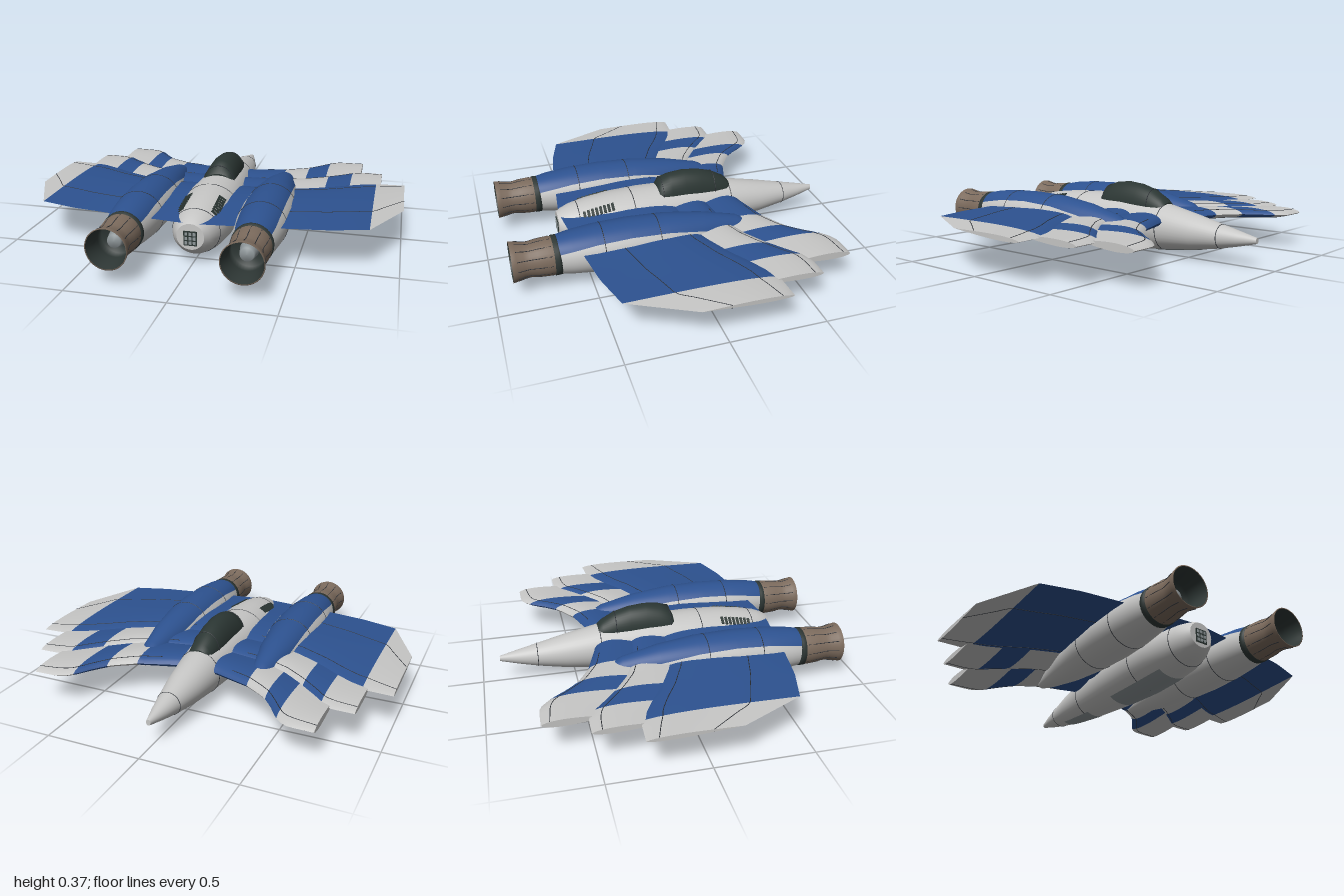
import * as THREE from 'three';

const mat = (name, color, double) => {
  const m = new THREE.MeshStandardMaterial({ color });
  m.name = name;
  if (double) m.side = THREE.DoubleSide;
  return m;
};
const V = (x, y, z) => new THREE.Vector3(x, y, z);

// linear lookup in rows [key, value, value, ...]
function at(rows, k) {
  let i = 0;
  while (i < rows.length - 2 && rows[i + 1][0] < k) i++;
  const a = rows[i], b = rows[i + 1];
  const t = THREE.MathUtils.clamp((k - a[0]) / (b[0] - a[0]), 0, 1);
  return a.slice(1).map((v, j) => v + (b[j + 1] - v) * t);
}

// skin over rings of equal point count, with optional flat end caps
function loft(rings, closed, capStart, capEnd) {
  const n = rings[0].length, pos = [], idx = [];
  rings.forEach(r => r.forEach(p => pos.push(p.x, p.y, p.z)));
  for (let i = 0; i < rings.length - 1; i++) {
    for (let j = 0; j < (closed ? n : n - 1); j++) {
      const k = (j + 1) % n, a = i * n + j, b = i * n + k;
      idx.push(a, b, b + n, a, b + n, a + n);
    }
  }
  const cap = (ring, flip) => {
    const base = pos.length / 3, c = V(0, 0, 0);
    ring.forEach(p => { pos.push(p.x, p.y, p.z); c.addScaledVector(p, 1 / n); });
    pos.push(c.x, c.y, c.z);
    for (let j = 0; j < n; j++) {
      const k = (j + 1) % n;
      idx.push(base + n, base + (flip ? k : j), base + (flip ? j : k));
    }
  };
  if (capStart) cap(rings[0], true);
  if (capEnd) cap(rings[rings.length - 1], false);
  const g = new THREE.BufferGeometry();
  g.setAttribute('position', new THREE.Float32BufferAttribute(pos, 3));
  g.setIndex(idx);
  g.computeVertexNormals();
  return g;
}

// elliptical arc for a body section [halfWidth, top, bottom] at z
function arc(z, [w, top, bot], a0, a1, n, grow = 0) {
  const c = (top + bot) / 2, h = (top - bot) / 2 + grow;
  return Array.from({ length: n }, (_, j) => {
    const a = a0 + (a1 - a0) * j / (n - 1);
    return V((w + grow) * Math.cos(a), c + h * Math.sin(a), z);
  });
}
const fullRing = (z, s, grow) => arc(z, s, 0, Math.PI * 2, 37, grow).slice(0, 36);

function mirrorX(g) {
  const m = g.clone().scale(-1, 1, 1), ix = m.index.array;
  for (let i = 0; i < ix.length; i += 3) [ix[i], ix[i + 1]] = [ix[i + 1], ix[i]];
  m.computeVertexNormals();
  return m;
}

// z, half width, top, bottom
const HULL = [[-0.9, 0.012, 0.155, 0.125], [-0.8, 0.04, 0.178, 0.1], [-0.7, 0.063, 0.2, 0.078],
  [-0.55, 0.092, 0.235, 0.052], [-0.36, 0.116, 0.275, 0.03], [-0.1, 0.144, 0.3, 0.012],
  [0.15, 0.16, 0.302, 0.006], [0.32, 0.156, 0.295, 0.012], [0.45, 0.137, 0.28, 0.022],
  [0.54, 0.112, 0.262, 0.045], [0.585, 0.09, 0.245, 0.07], [0.61, 0.07, 0.23, 0.095]];
// the last column is the angle where the painted top begins
const POD = [[-0.4, 0.025, 0.185, 0.145, 0.1], [-0.34, 0.043, 0.215, 0.128, 0.1], [-0.29, 0.057, 0.242, 0.117, 0.15],
  [-0.1, 0.097, 0.285, 0.085, 0.45], [0.1, 0.125, 0.31, 0.068, 0.66], [0.3, 0.135, 0.317, 0.062, 0.72],
  [0.48, 0.127, 0.312, 0.067, 0.66], [0.6, 0.113, 0.3, 0.077, 0.55], [0.665, 0.1, 0.288, 0.085, 0.5]];
const CANOPY = [[-0.365, 0.055, 0.28, 0.24], [-0.34, 0.066, 0.305, 0.24], [-0.27, 0.076, 0.345, 0.24],
  [-0.19, 0.083, 0.368, 0.24], [-0.1, 0.088, 0.377, 0.24], [-0.02, 0.09, 0.368, 0.24],
  [0.03, 0.09, 0.35, 0.24], [0.05, 0.086, 0.31, 0.24]];

// wing feathers: leading and trailing edges as [x, z], colour bands by span
const FEATHERS = [
  { drop: -0.008, lead: [[0, -0.38], [0.11, -0.4], [0.31, -0.465], [0.43, -0.54], [0.49, -0.61], [0.53, -0.67], [0.57, -0.72], [0.62, -0.742], [0.745, -0.745]],
    trail: [[0, -0.08], [0.3, -0.1], [0.55, -0.24], [0.745, -0.4]],
    bands: [[0, 0.31, 'blue'], [0.31, 0.44, 'white'], [0.44, 0.55, 'blue'], [0.55, 0.745, 'white']], seams: [0.12] },
  { drop: -0.003, lead: [[0, -0.2], [0.3, -0.24], [0.45, -0.3], [0.55, -0.37], [0.65, -0.455], [0.7, -0.505], [0.76, -0.528], [0.87, -0.53]],
    trail: [[0, 0.1], [0.3, 0.08], [0.55, 0.0], [0.87, -0.16]],
    bands: [[0, 0.31, 'blue'], [0.31, 0.57, 'white'], [0.57, 0.7, 'blue'], [0.7, 0.87, 'white']], seams: [0.13] },
  { drop: 0.003, lead: [[0, -0.05], [0.3, -0.06], [0.44, -0.09], [0.6, -0.17], [0.7, -0.235], [0.79, -0.285], [0.87, -0.305], [1, -0.312]],
    trail: [[0, 0.6], [0.1, 0.59], [0.45, 0.55], [0.65, 0.52], [0.845, 0.465], [1, 0.14]],
    bands: [[0, 0.845, 'blue'], [0.845, 1, 'white']], seams: [0.13, 0.68] },
];

function wingPoint(f, x, t, side) {
  const z0 = at(f.lead, x)[0], z1 = at(f.trail, x)[0], z = z0 + (z1 - z0) * t;
  const h = 0.04 - 0.028 * x;
  return V(x, 0.209 + f.drop + 0.025 * z + side * h * Math.sin(Math.PI * Math.pow(t, 0.6)), z);
}
function wingRing(f, x) {
  const N = 12, r = [];
  for (let i = 0; i <= N; i++) r.push(wingPoint(f, x, Math.pow(i / N, 1.4), 1));
  for (let i = N; i >= 0; i--) r.push(wingPoint(f, x, Math.pow(i / N, 1.4), -1));
  return r;
}

export function createModel() {
  const M = {
    white: mat('pale grey paint', 0xc6c6c5), blue: mat('blue paint', 0x2d5290),
    dark: mat('dark green glass', 0x2b3633), line: mat('panel line', 0x30343a),
    brown: mat('burnt metal', 0x7c6b5d, true), inner: mat('nozzle lining', 0x2e3735, true),
    grey: mat('mid grey', 0x8e9699),
  };
  const root = new THREE.Group();
  const add = (name, geo, m, parent = root) => {
    const mesh = new THREE.Mesh(geo, m);
    mesh.name = name;
    parent.add(mesh);
    return mesh;
  };
  const lineTube = (pts, closed) =>
    new THREE.TubeGeometry(new THREE.CatmullRomCurve3(pts, closed), closed ? 48 : 30, 0.002, 5, closed);

  // fuselage
  add('fuselage', loft(HULL.map(([z, ...s]) => fullRing(z, s)), true, true, true), M.white);
  for (const z of [-0.7, -0.36, 0.2, 0.5])
    add('fuselageSeam', lineTube(fullRing(z, at(HULL, z)), true), M.line);
  for (const [z0, z1, spread] of [[-0.6, -0.32, 0.45], [-0.05, 0.38, 0.6]]) {
    const rings = [];
    for (let i = 0; i <= 8; i++) {
      const z = z0 + (z1 - z0) * i / 8;
      rings.push(arc(z, at(HULL, z), 1.5 * Math.PI - spread, 1.5 * Math.PI + spread, 14, 0.002));
    }
    add('bellyPanel', loft(rings, false), M.grey);
  }

  // canopy with frame hoops
  add('canopy', loft(CANOPY.map(([z, w, t, b]) => arc(z, [w, t, 2 * b - t], 0, Math.PI, 24)), false, true, true), M.dark);
  for (const z of [-0.27, 0.03]) {
    const [w, t, b] = at(CANOPY, z);
    add('canopyFrame', lineTube(arc(z, [w, t, 2 * b - t], 0, Math.PI, 16, 0.001)), M.line);
  }

  // dorsal vents
  for (const s of [-1, 1]) for (let i = 0; i < 8; i++) {
    const z = 0.32 + i * 0.022, [w, t, b] = at(HULL, z), x = 0.09, h = (t - b) / 2;
    const v = add('ventSlat', new THREE.BoxGeometry(0.045, 0.008, 0.014), M.dark);
    v.position.set(s * x, (t + b) / 2 + h * Math.sqrt(1 - (x / w) ** 2), z);
    v.rotation.z = -s * Math.atan((h / w) * (x / w) / Math.sqrt(1 - (x / w) ** 2));
  }

  // tail grille
  add('tailGrille', new THREE.BoxGeometry(0.068, 0.075, 0.006), M.dark).position.set(0, 0.155, 0.611);
  for (let i = 0; i < 9; i++)
    add('grilleCell', new THREE.BoxGeometry(0.014, 0.016, 0.004), M.grey)
      .position.set((i % 3 - 1) * 0.021, 0.155 + (Math.floor(i / 3) - 1) * 0.023, 0.614);

  // engines
  for (const s of [-1, 1]) {
    const engine = new THREE.Group();
    engine.name = s > 0 ? 'leftEngine' : 'rightEngine';
    engine.position.x = s * 0.32;
    root.add(engine);
    add('nacelleTop', loft(POD.map(([z, w, t, b, a]) => arc(z, [w, t, b], a, Math.PI - a, 20)), false), M.blue, engine);
    add('nacelleBody', loft(POD.map(([z, w, t, b, a]) => arc(z, [w, t, b], Math.PI - a, 2 * Math.PI + a, 28)), false, true, true), M.white, engine);
    for (const z of [0.15, 0.44])
      add('nacelleSeam', lineTube(fullRing(z, at(POD, z)), true), M.line, engine);

    const lathe = pts => new THREE.LatheGeometry(pts.map(p => new THREE.Vector2(...p)), 36).rotateX(Math.PI / 2).translate(0, 0.185, 0);
    add('nozzleCollar', lathe([[0.05, 0.655], [0.101, 0.655], [0.103, 0.67], [0.103, 0.69], [0.09, 0.692]]), M.inner, engine);
    add('nozzle', lathe([[0.098, 0.685], [0.1, 0.72], [0.095, 0.77], [0.089, 0.81], [0.091, 0.84], [0.1, 0.875], [0.105, 0.9], [0.1, 0.9]]), M.brown, engine);
    add('nozzleLining', lathe([[0.1, 0.9], [0.094, 0.875], [0.085, 0.83], [0.085, 0.79], [0.085, 0.74], [0, 0.74]]), M.inner, engine);
    add('nozzleHub', lathe([[0.045, 0.74], [0.038, 0.78], [0.033, 0.8], [0, 0.802]]), M.grey, engine);
    for (let i = 0; i < 12; i++) {
      const a = i * Math.PI / 6, p = (r, z) => V(r * Math.cos(a), 0.185 + r * Math.sin(a), z);
      add('nozzleRib', lineTube([p(0.099, 0.7), p(0.095, 0.77), p(0.089, 0.81), p(0.1, 0.875)]), M.line, engine);
    }
  }

  // layered wing feathers, mirrored
  FEATHERS.forEach((f, k) => {
    const both = (name, g, m) => {
      add('left' + name, g, m);
      add('right' + name, mirrorX(g), m);
    };
    const tip = f.lead[f.lead.length - 1][0];
    for (const [x0, x1, colour] of f.bands) {
      const n = Math.max(4, Math.round((x1 - x0) / 0.03)), rings = [];
      for (let i = 0; i <= n; i++) rings.push(wingRing(f, x0 + (x1 - x0) * i / n));
      both('WingFeather' + (k + 1), loft(rings, false, false, x1 === tip), M[colour]);
    }
    for (const t of f.seams) for (const side of [1, -1]) {
      const pts = [];
      for (let i = 0; i <= 16; i++) pts.push(wingPoint(f, 0.2 + (tip - 0.2) * i / 16, t, side));
      both('WingSeam', lineTube(pts), M.line);
    }
  });
  return root;
}
